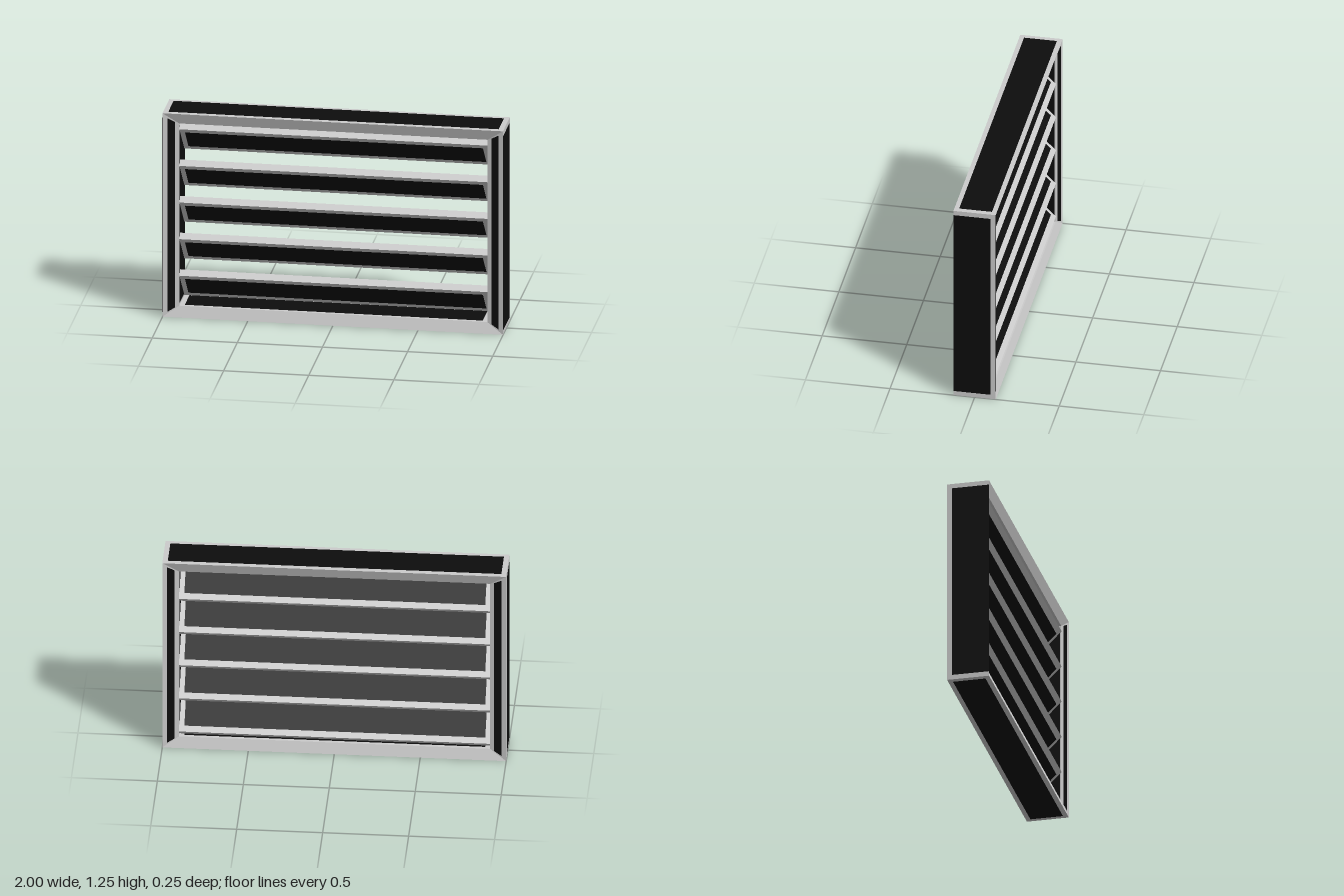
import * as THREE from 'three';

export function createModel() {
  const model = new THREE.Group();
  const light = new THREE.MeshStandardMaterial({ color: 0xcccccc });
  light.name = 'light grey';
  const dark = new THREE.MeshStandardMaterial({ color: 0x0d0d0d, side: THREE.DoubleSide });
  dark.name = 'near black';

  const H = 1.25, D = 0.125;            // outer height, half depth
  const IX = 0.905, IY = 0.065;         // inner opening half width, rail height
  const ID = 0.102;                     // half depth at the inner edge
  const LIFT = 0.0015;                  // plates sit just above a surface

  // Flat-shaded mesh from a list of four-cornered faces
  function quads(name, faces, material, parent = model) {
    const pos = [];
    for (const [a, b, c, d] of faces) for (const p of [a, b, c, a, c, d]) pos.push(...p);
    const geometry = new THREE.BufferGeometry();
    geometry.setAttribute('position', new THREE.Float32BufferAttribute(pos, 3));
    geometry.computeVertexNormals();
    const mesh = new THREE.Mesh(geometry, material);
    mesh.name = name;
    parent.add(mesh);
  }

  // Frame: four rectangular loops joined into a mitred ring, sloping inward
  const loop = (x, y, z) => [[-x, y, z], [x, y, z], [x, H - y, z], [-x, H - y, z]];
  const loops = [loop(1, 0, D), loop(IX, IY, ID), loop(IX, IY, -ID), loop(1, 0, -D)];
  const ring = [];
  loops.forEach((a, k) => {
    const b = loops[(k + 1) % 4];
    for (let i = 0; i < 4; i++) {
      const j = (i + 1) % 4;
      ring.push([a[i], a[j], b[j], b[i]]);
    }
  });
  quads('frame', ring, light);

  // Horizontal dark plate, and vertical dark plate facing sideways
  const level = (name, x, y, z) =>
    quads(name, [[[-x, y, z], [x, y, z], [x, y, -z], [-x, y, -z]]], dark);
  const upright = (name, x, y, z0, z1) =>
    quads(name, [[[x, y, z0], [x, y, z1], [x, H - y, z1], [x, H - y, z0]]], dark);

  level('topPanel', 0.97, H + LIFT, 0.097);
  level('bottomPanel', 0.97, -LIFT, 0.097);
  level('innerTopPanel', 0.875, H - IY - LIFT, 0.085);
  level('innerBottomPanel', 0.875, IY + LIFT, 0.085);

  const slopeZ = x => D - (D - ID) * (1 - x) / (1 - IX) + LIFT;
  for (const s of [1, -1]) {
    const side = s > 0 ? 'left' : 'right';
    upright(side + 'OuterPanel', s * (1 + LIFT), 0.028, -0.095, D);
    upright(side + 'InnerPanel', s * (IX - LIFT), 0.08, -0.095, 0.095);
    // Strips on the front and back of each side post
    for (const f of [1, -1]) {
      const outer = f * slopeZ(0.972), inner = f * slopeZ(0.929);
      quads(side + (f > 0 ? 'Front' : 'Back') + 'Strip', [[
        [s * 0.972, 0.03, outer], [s * 0.929, 0.055, inner],
        [s * 0.929, H - 0.055, inner], [s * 0.972, H - 0.03, outer],
      ]], dark);
    }
  }

  // Slats: tilted boards, high at the front, with a dark panel on both broad faces
  const T = 0.042, L = 0.254, M = 0.036;
  for (let i = 0; i < 5; i++) {
    const slat = new THREE.Group();
    slat.name = 'slat' + (i + 1);
    const board = new THREE.Mesh(new THREE.BoxGeometry(2 * IX, T, L), light);
    board.name = 'slatBoard';
    slat.add(board);
    const x = IX - 0.03, z = L / 2 - M;
    for (const f of [1, -1]) {
      const y = f * (T / 2 + LIFT);
      quads('slatPanel', [[[-x, y, z], [x, y, z], [x, y, -z], [-x, y, -z]]], dark, slat);
    }
    slat.position.y = H / 2 + (i - 2) * 0.225;
    slat.rotation.x = -Math.PI / 4;
    model.add(slat);
  }

  return model;
}
